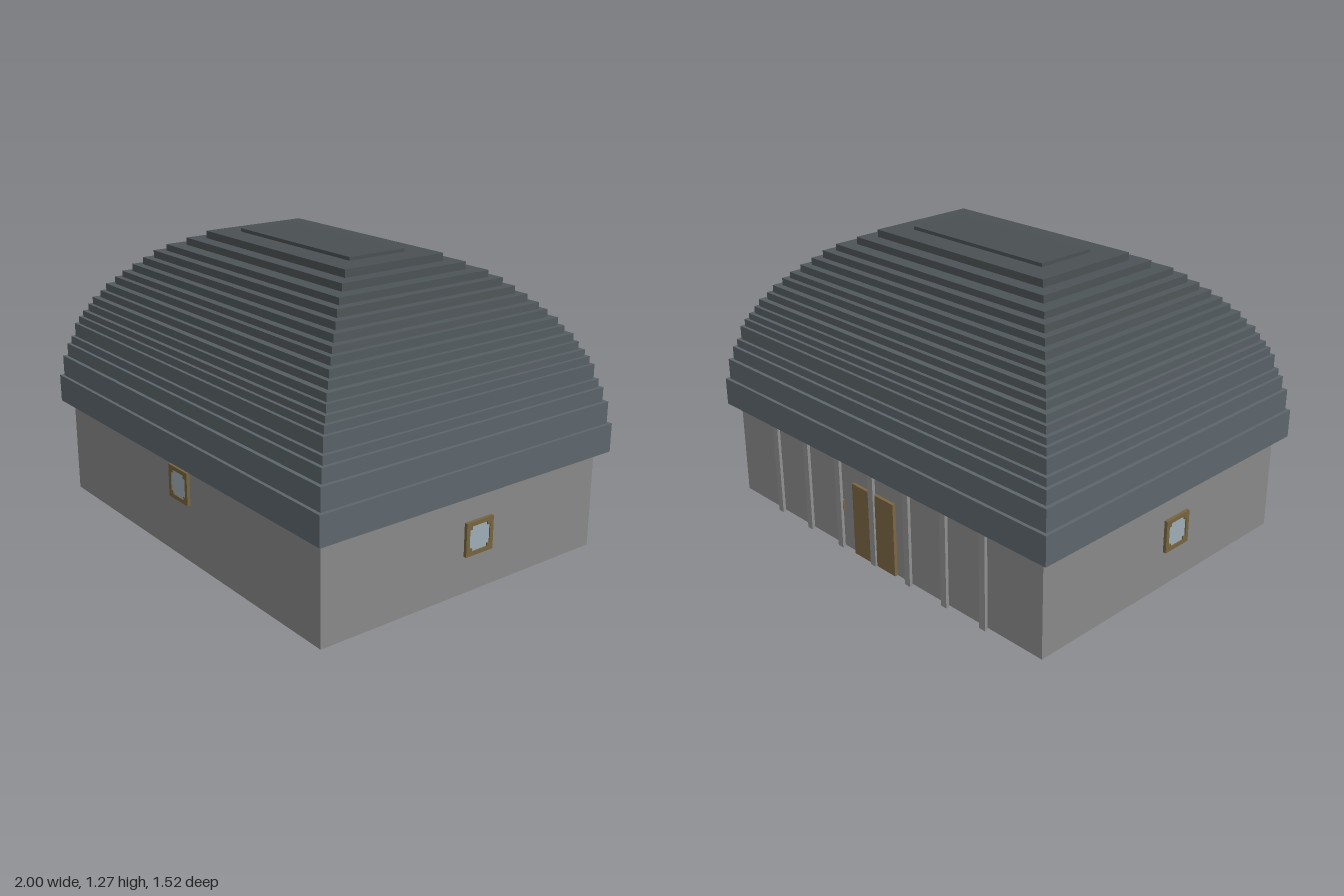
import * as THREE from 'three';

const mat = (color, extra = {}) => new THREE.MeshStandardMaterial({ color, ...extra });

function box(name, [w, h, d], [x, y, z], material) {
  const mesh = new THREE.Mesh(new THREE.BoxGeometry(w, h, d), material);
  mesh.name = name;
  mesh.position.set(x, y, z);
  return mesh;
}

// Square frame with a notched opening and a pane, facing +z with its back at z = 0
function makeWindow(name, frameMat, glassMat) {
  const group = new THREE.Group();
  group.name = name;
  const a = 0.072, b = 0.054, c = 0.04;
  const shape = new THREE.Shape([[-a, -a], [a, -a], [a, a], [-a, a]].map(p => new THREE.Vector2(...p)));
  const hole = [[b, c], [c, c], [c, b], [-c, b], [-c, c], [-b, c], [-b, -c], [-c, -c], [-c, -b], [c, -b], [c, -c], [b, -c]];
  shape.holes.push(new THREE.Path(hole.map(p => new THREE.Vector2(...p))));
  const frame = new THREE.Mesh(new THREE.ExtrudeGeometry(shape, { depth: 0.014, bevelEnabled: false }), frameMat);
  frame.name = 'windowFrame';
  group.add(frame, box('windowPane', [0.11, 0.11, 0.008], [0, 0, 0.005], glassMat));
  return group;
}

export function createModel() {
  const model = new THREE.Group();
  model.name = 'house';
  const stone = mat(0x888888), post = mat(0x8f8f8f);
  const wood = mat(0x7a6643), frameMat = mat(0x75643f), glass = mat(0x9fadb5);

  // Stone walls
  const W = 0.95, D = 0.72, H = 0.433;
  model.add(box('walls', [2 * W, H, 2 * D], [0, H / 2, 0], stone));

  // Stepped roof: [half depth, top height] of each course, from the eaves up
  const courses = [
    [0.762, 0.558], [0.747, 0.653], [0.73, 0.714], [0.715, 0.75], [0.7, 0.812],
    [0.685, 0.845], [0.67, 0.873], [0.651, 0.906], [0.635, 0.939], [0.608, 0.971],
    [0.588, 1.004], [0.557, 1.037], [0.532, 1.065], [0.498, 1.098], [0.462, 1.13],
    [0.426, 1.163], [0.384, 1.192], [0.319, 1.224], [0.254, 1.257], [0.143, 1.272],
  ];
  const roof = new THREE.Group();
  roof.name = 'roof';
  const low = new THREE.Color(0x5d666c), high = new THREE.Color(0x4a5052);
  let bottom = H;
  courses.forEach(([hz, top], i) => {
    const color = low.clone().lerp(high, i / (courses.length - 1));
    const hx = hz + 0.238;
    roof.add(box('roofCourse', [2 * hx, top - bottom, 2 * hz], [0, (top + bottom) / 2, 0], mat(color)));
    bottom = top;
  });
  model.add(roof);

  // One window on the front and one on each end wall
  const windows = [
    ['frontWindow', 0, 0.33, D, 0],
    ['leftWindow', W, 0.233, -0.055, Math.PI / 2],
    ['rightWindow', -W, 0.233, 0.055, -Math.PI / 2],
  ];
  for (const [name, x, y, z, turn] of windows) {
    const w = makeWindow(name, frameMat, glass);
    w.position.set(x, y, z);
    w.rotation.y = turn;
    model.add(w);
  }

  // Row of slim posts under the back eaves
  for (let i = -3; i <= 3; i++) {
    model.add(box('backPost', [0.032, H, 0.014], [i * 0.219, H / 2, -0.737], post));
  }

  // Double door with a small bracket on either side
  for (const s of [-1, 1]) {
    model.add(box('doorLeaf', [0.129, 0.333, 0.02], [s * 0.066, 0.1665, -0.725], wood));
    model.add(box('doorBracket', [0.022, 0.05, 0.014], [s * 0.213, 0.2, -0.726], frameMat));
  }
  return model;
}
